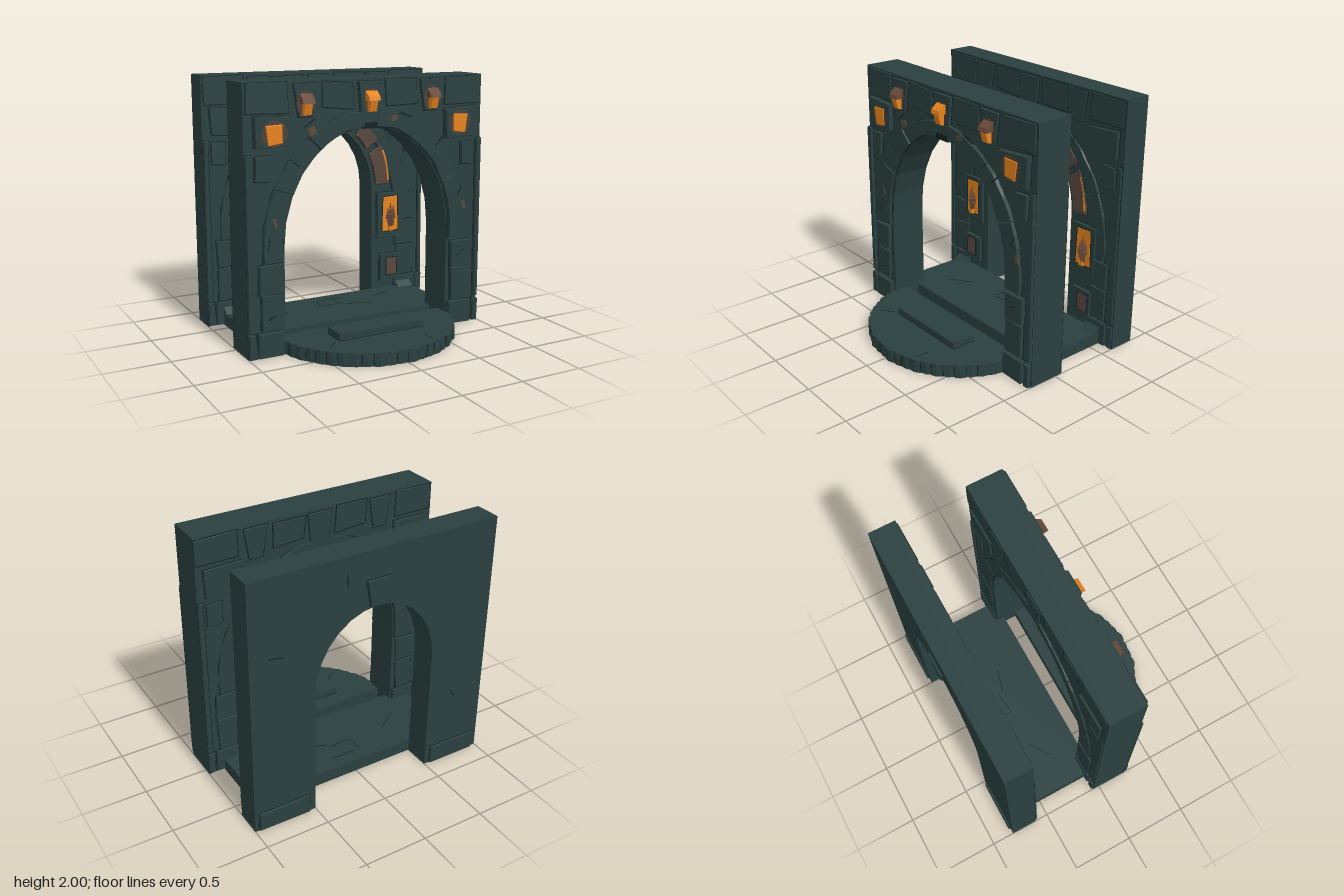
import * as THREE from 'three';

export function createModel() {
  const group = new THREE.Group();
  const mat = (name, color) => new THREE.MeshStandardMaterial({ name, color, flatShading: true, side: THREE.DoubleSide });
  const stone = mat('stone', 0x2a403f);
  const dark = mat('joint', 0x142020);
  const brown = mat('warmStone', 0x6b4a3b);
  const dusty = mat('dustyStone', 0x59483d);
  const halo = mat('halo', 0x4a4138);
  const glow = mat('glow', 0xf08820);

  let seed = 7;
  const rnd = () => (seed = (seed * 16807) % 2147483647) / 2147483647;
  const jit = (a) => (rnd() - 0.5) * 2 * a;

  function add(name, geo, m, x = 0, y = 0, z = 0) {
    const mesh = new THREE.Mesh(geo, m);
    mesh.name = name;
    mesh.position.set(x, y, z);
    group.add(mesh);
    return mesh;
  }
  const box = (name, m, x, y, z, w, h, d) => add(name, new THREE.BoxGeometry(w, h, d), m, x, y, z);
  const shapeOf = (pts) => new THREE.Shape(pts.map((p) => new THREE.Vector2(p[0], p[1])));
  const extrude = (pts, depth) => new THREE.ExtrudeGeometry(shapeOf(pts), { depth, bevelEnabled: false });

  // Raised block on a wall face: chamfered toward its outer face, with a dark joint around it
  function slab(name, m, pts, z, dir, depth, joint = true) {
    const cx = pts.reduce((s, p) => s + p[0], 0) / pts.length;
    const cy = pts.reduce((s, p) => s + p[1], 0) / pts.length;
    const geo = extrude(pts, depth);
    const pos = geo.attributes.position;
    for (let i = 0; i < pos.count; i++) {
      const outer = dir > 0 ? pos.getZ(i) > depth / 2 : pos.getZ(i) < depth / 2;
      if (outer) {
        pos.setX(i, pos.getX(i) - Math.sign(pos.getX(i) - cx) * 0.005);
        pos.setY(i, pos.getY(i) - Math.sign(pos.getY(i) - cy) * 0.005);
      }
    }
    geo.computeVertexNormals();
    add(name, geo, m, 0, 0, dir > 0 ? z : z - depth);
    if (joint) {
      const rim = pts.map(([x, y]) => [
        THREE.MathUtils.clamp(x + Math.sign(x - cx) * 0.004, -1, 1),
        THREE.MathUtils.clamp(y + Math.sign(y - cy) * 0.004, 0, 2)]);
      add(name + 'Joint', extrude(rim, 0.003), dark, 0, 0, dir > 0 ? z : z - 0.003);
    }
  }
  // Slightly uneven rectangle
  const rect = (x0, x1, y0, y1, j = 0.008) => [[x0, y0], [x1, y0], [x1, y1], [x0, y1]]
    .map(([x, y]) => [THREE.MathUtils.clamp(x + jit(j), -1, 1), THREE.MathUtils.clamp(y + jit(j), 0, 2)]);
  const mirror = (pts, s) => pts.map(([x, y]) => [x * s, y]);
  // Part of an elliptical arch band between two radii, angles in degrees
  function sector(rx0, ry0, rx1, ry1, yc, a0, a1) {
    const inner = [], outer = [];
    for (let i = 0; i <= 6; i++) {
      const t = THREE.MathUtils.degToRad(a0 + (a1 - a0) * i / 6);
      inner.unshift([rx0 * Math.cos(t), yc + ry0 * Math.sin(t)]);
      outer.push([rx1 * Math.cos(t), yc + ry1 * Math.sin(t)]);
    }
    return outer.concat(inner);
  }
  // Wall slab with an arched opening down to the ground
  function wall(name, half, spring, rise, z0, z1) {
    const pts = [[-1, 0], [-half, 0]];
    for (let i = 0; i <= 14; i++) {
      const t = Math.PI * (1 - i / 14);
      pts.push([half * Math.cos(t), spring + rise * Math.sin(t)]);
    }
    pts.push([half, 0], [1, 0], [1, 2], [-1, 2]);
    add(name, extrude(pts, z1 - z0), stone, 0, 0, z0);
  }
  wall('frontWall', 0.7, 0.8, 0.85, -0.055, 0.237);
  wall('backWall', 0.5, 1.0, 0.57, -0.82, -0.61);

  // Masonry relief on both faces of the front wall and the inner face of the back wall
  function masonry(label, z, dir, depth) {
    for (const s of [1, -1]) {
      const put = (name, pts, d = depth, joint = true) => slab(label + name, stone, mirror(pts, s), z, dir, d, joint);
      put('Base', rect(0.72, 0.925, 0.0, 0.19), depth * 1.4);
      put('Shaft', rect(0.74, 0.9, 0.2, 0.47));
      put('Block', rect(0.73, 0.91, 0.48, 0.69), depth * 1.3);
      put('EdgeStrip', rect(0.955, 1, 0.2, 1.5));
      put('EdgeFoot', rect(0.94, 1, 0, 0.19), depth * 1.3);
      put('SideBlock', rect(0.81, 0.93, 1.3, 1.48));
      put('CornerBlock', rect(0.65, 0.94, 1.53, 1.75, 0.015), depth * 1.5);
      put('TopCorner', rect(0.66, 0.99, 1.78, 1.99, 0.012), depth * 0.5);
      put('LampBlock', [[0.47, 1.74], [0.58, 1.74], [0.62, 1.98], [0.43, 1.98]], depth * 0.7);
      put('TopBlock', rect(0.13, 0.4, 1.79, 1.985, 0.015), depth * 0.4);
      // Arch band in near-seamless lengths over one dark outline
      for (const [a, b] of [[-6, 27], [27, 55], [55, 86]])
        put('ArchStone', sector(0.715, 0.855, 0.875, 0.965, 0.8, a, b), depth, false);
      const edge = extrude(mirror(sector(0.712, 0.852, 0.881, 0.971, 0.8, -6, 86), s), 0.003);
      add(label + 'ArchOutline', edge, dark, 0, 0, dir > 0 ? z : z - 0.003);
    }
    slab(label + 'Keystone', stone, [[-0.07, 1.66], [0.07, 1.66], [0.1, 1.98], [-0.1, 1.98]], z, dir, depth * 0.9);
  }
  masonry('front', 0.237, 1, 0.028);
  masonry('frontReverse', -0.055, -1, 0.012);
  masonry('backInner', -0.61, 1, 0.016);
  box('keystoneShadow', dark, 0, 1.655, 0.25, 0.14, 0.045, 0.03);

  // Front lamps
  const disc = (x, y, z, rx, ry) => add('lampHalo', new THREE.CircleGeometry(1, 18), halo, x, y, z).scale.set(rx, ry, 1);
  for (const s of [1, -1]) {
    disc(s * 0.78, 1.64, 0.281, 0.1, 0.095);
    slab('cornerLamp', glow, mirror([[0.72, 1.57], [0.83, 1.555], [0.85, 1.7], [0.72, 1.705]], s), 0.282, 1, 0.005, false);
  }
  for (const x of [-0.53, 0, 0.53]) {
    disc(x, 1.84, 0.264, x === 0 ? 0.06 : 0.072, 0.092);
    const side = [[0.24, 1.75], [0.295, 1.76], [0.318, 1.84], [0.24, 1.84]];
    const cap = [[0.24, 1.84], [0.325, 1.84], [0.318, 1.87], [0.27, 1.91], [0.24, 1.91]];
    const profile = (name, pts, w, m) => {
      const geo = extrude(pts, w);
      geo.rotateY(-Math.PI / 2);
      add(name, geo, m, x + w / 2, 0, 0);
    };
    profile('lampBody', side, 0.06, glow);
    profile('lampCap', cap, 0.095, x === 0 ? glow : brown);
  }

  // Inner arch stones on the back wall
  for (const s of [1, -1]) {
    const arch = (a, b, m, r0, r1, z, d) => slab('innerArchStone', m,
      mirror(sector(0.5 * r0, 0.57 * r0, 0.5 * r1, 0.57 * r1, 1.0, a, b), s), z, 1, d, m !== glow);
    arch(2, 29, dusty, 1.06, 1.34, -0.61, 0.02);
    arch(33, 50, dusty, 1.06, 1.32, -0.61, 0.02);
    arch(55, 79, dusty, 1.05, 1.28, -0.61, 0.02);
    arch(57, 76, glow, 1.09, 1.13, -0.59, 0.003);
    arch(4, 25, glow, 1.3, 1.325, -0.59, 0.003);
    // Jamb panels with glowing niche and a pointed sconce
    const put = (name, m, pts, z, d) => slab(name, m, mirror(pts, s), z, 1, d);
    put('nicheFrame', stone, rect(0.545, 0.785, 0.55, 0.95, 0.004), -0.61, 0.026);
    put('nicheGlow', glow, rect(0.595, 0.745, 0.61, 0.915, 0.006), -0.584, 0.005);
    put('lowerFrame', stone, rect(0.575, 0.765, 0.17, 0.4, 0.004), -0.61, 0.03);
    put('lowerPanel', dusty, rect(0.63, 0.735, 0.21, 0.37, 0.006), -0.58, 0.005);
    const cup = add('sconceCup', new THREE.CylinderGeometry(0.045, 0.025, 0.12, 5), brown, s * 0.67, 0.7, -0.58);
    cup.rotation.z = s * 0.1;
    for (const [dx, h] of [[-0.025, 0.1], [0.0, 0.15], [0.028, 0.12]])
      add('sconceFlame', new THREE.ConeGeometry(0.026, h, 4), brown, s * (0.67 + dx), 0.72 + h / 2, -0.575);
    box('sconceEmber', glow, s * 0.67, 0.635, -0.575, 0.04, 0.04, 0.04);
    // Sloping foot of the back wall and rear corner blocks
    const foot = extrude([[0.61, 0.1], [0.535, 0.1], [0.61, 0.165]], 0.14);
    foot.rotateY(Math.PI / 2);
    add('jambFoot', foot, stone, s * 0.8 - 0.07, 0, 0);
    slab('rearCornerBlock', stone, mirror(rect(0.54, 0.96, 0, 0.15), s), -0.82, -1, 0.016);
  }
  slab('innerKeystone', dusty, [[-0.06, 1.575], [0.06, 1.575], [0.08, 1.63], [-0.08, 1.63]], -0.61, 1, 0.022);
  slab('rearKeystone', stone, [[-0.065, 1.58], [0.065, 1.58], [0.1, 1.78], [-0.1, 1.78]], -0.82, -1, 0.018);

  // Floor between the walls, rounded landing with an uneven cobbled rim, and its step
  box('floor', stone, 0, 0.05, -0.3, 1.74, 0.1, 0.62);
  const rim = [];
  const count = 26;
  const zc = 0.115;
  const widen = 1.02;
  for (let i = 0; i < count; i++) {
    const r = 0.712 + jit(0.006);
    for (const f of [0.05, 0.5, 0.95]) {
      const t = Math.PI * (1 + (i + f) / count);
      const rr = r + (f === 0.5 ? 0.006 : -0.002);
      rim.push([widen * rr * Math.cos(t), -zc + rr * Math.sin(t)]);
    }
    const t = Math.PI * (i / count);
    const line = box('rimJoint', dark, widen * 0.707 * Math.cos(t), 0.05, zc + 0.707 * Math.sin(t), 0.008, 0.05 + 0.045 * rnd(), 0.006);
    line.rotation.set(0, Math.PI / 2 - t, jit(0.15));
  }
  const landing = extrude(rim, 0.102);
  landing.rotateX(-Math.PI / 2);
  add('landing', landing, stone);
  box('step', stone, 0, 0.125, 0.35, 0.72, 0.06, 0.2);
  box('stepJoint', dark, 0, 0.103, 0.35, 0.73, 0.003, 0.21);

  // Thin floor cracks: x, z, length, angle
  for (const [x, z, l, a] of [[0, -0.36, 0.18, 0.1], [-0.1, -0.43, 0.13, 1.57], [0.2, -0.3, 0.2, -0.3],
    [-0.5, -0.3, 0.2, 0.6], [0.5, -0.45, 0.16, 0.4], [0.05, -0.5, 0.2, 0], [0.27, 0.68, 0.1, 1.5], [-0.45, 0.5, 0.12, 0.7]])
    box('floorCrack', dark, x, 0.103, z, l, 0.002, 0.006).rotation.y = a;
  // Thin wall cracks and warm chips: x, y, length, angle
  for (const [x, y, l, a] of [[-0.5, 1.7, 0.1, 0.6], [0.3, 1.72, 0.12, -0.4], [0.6, 1.5, 0.1, 0.8], [-0.62, 1.42, 0.08, -0.7],
    [0.8, 1.1, 0.08, 1.2], [-0.83, 0.85, 0.1, 1.4], [0.82, 0.6, 0.07, 0.6], [-0.82, 0.3, 0.07, 0.5]])
    box('wallCrack', dark, x, y, y < 0.7 ? 0.271 : 0.264, l, 0.007, 0.009).rotation.z = a;
  for (const [x, y, w, h] of [[-0.48, 1.64, 0.06, 0.06], [0.2, 1.7, 0.06, 0.04], [-0.78, 1.0, 0.025, 0.07], [0.84, 0.98, 0.03, 0.07]])
    box('warmChip', dusty, x, y, 0.263, w, h, 0.008).rotation.z = 0.3;
  for (const [x, y, l, a] of [[-0.72, 0.6, 0.08, 1], [0.8, 1.4, 0.12, 0.2], [0.25, 1.82, 0.1, 1.5]])
    box('rearCrack', dark, x, y, -0.821, l, 0.007, 0.004).rotation.z = a;
  return group;
}
